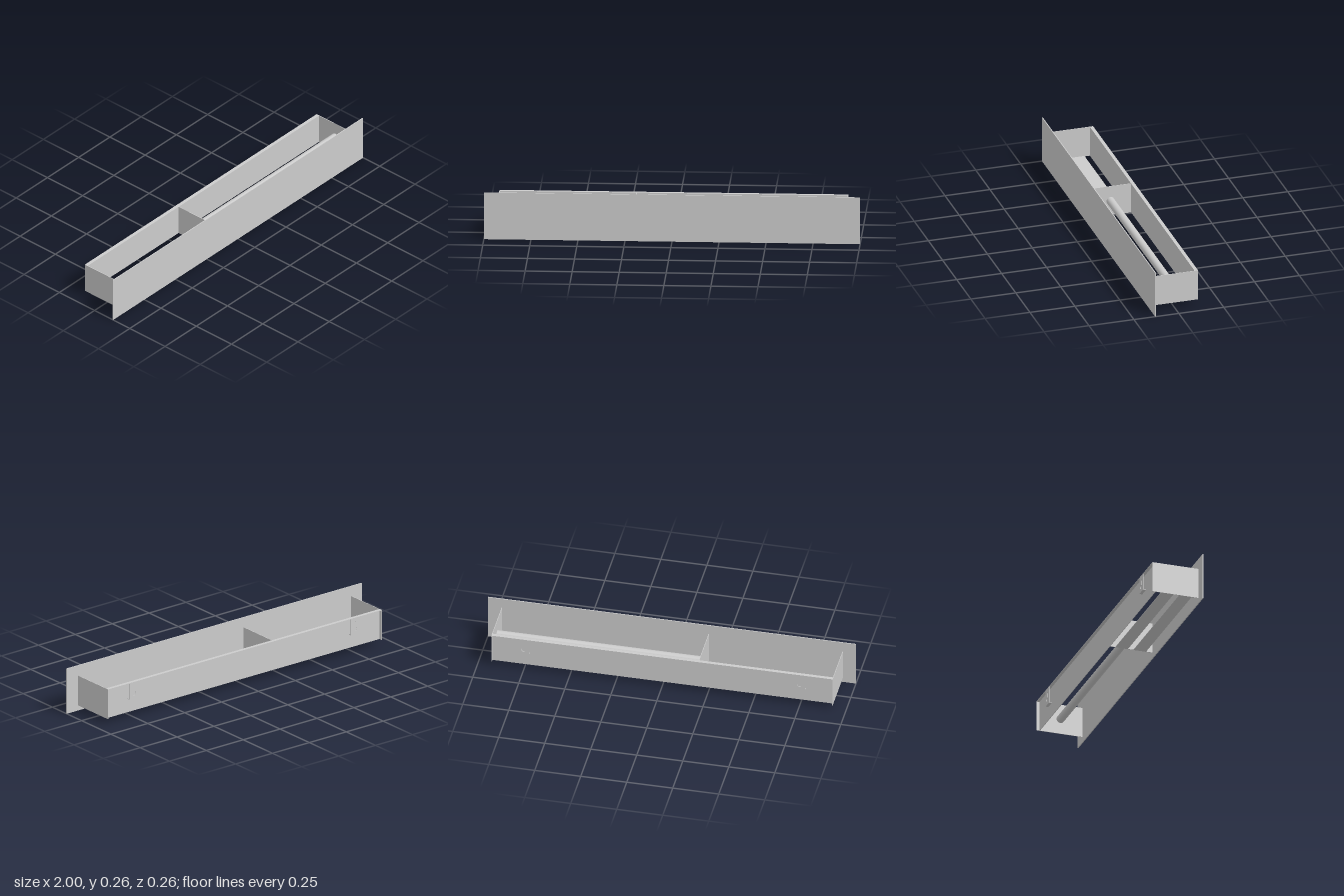
import * as THREE from 'three';

const T = 0.003; // sheet thickness
const LEFT = 0.925, RIGHT = -0.93, DIVIDER = -0.2;
const BOTTOM = 0.03, TOP = 0.2;
const BACK = -0.131, PANEL_Z = -0.112, FRONT_Z = 0.127;

export function createModel() {
  const model = new THREE.Group();
  model.name = 'wallShelfHousing';
  const material = new THREE.MeshStandardMaterial({ color: 0xcccccc });

  const add = (name, geometry, parent = model) => {
    const mesh = new THREE.Mesh(geometry, material);
    mesh.name = name;
    parent.add(mesh);
    return mesh;
  };
  // Box given by its lower and upper limits
  const slab = (name, x0, x1, y0, y1, z0, z1, parent) => {
    const mesh = add(name, new THREE.BoxGeometry(x1 - x0, y1 - y0, z1 - z0), parent);
    mesh.position.set((x0 + x1) / 2, (y0 + y1) / 2, (z0 + z1) / 2);
    return mesh;
  };

  // Wide front board
  slab('frontBoard', -1, 1, 0, 0.257, FRONT_Z, 0.132);

  // Upright plates: two ends and a divider
  slab('leftEndPlate', LEFT - T, LEFT, BOTTOM, TOP, BACK, FRONT_Z);
  slab('rightEndPlate', RIGHT, RIGHT + T, BOTTOM, TOP, BACK, FRONT_Z);
  slab('divider', DIVIDER - T / 2, DIVIDER + T / 2, BOTTOM, TOP, PANEL_Z, FRONT_Z);

  // Recessed back panel with a lip turned rearward along the top
  slab('backPanel', RIGHT + T, LEFT - T, BOTTOM, TOP, PANEL_Z - T, PANEL_Z);
  slab('backTopLip', RIGHT + T, LEFT - T, TOP - T, TOP, BACK, PANEL_Z - T);

  // Two flat slats across the floor of the short bay
  for (const [name, z0, z1] of [['rearSlat', -0.082, -0.012], ['frontSlat', 0.02, 0.09]]) {
    slab(name, RIGHT + T, DIVIDER - T / 2, BOTTOM, BOTTOM + T, z0, z1);
  }

  // Round tube through the long bay
  const length = LEFT - T - DIVIDER - T / 2;
  const tube = add('tube', new THREE.CylinderGeometry(0.022, 0.022, length, 32));
  tube.rotation.z = Math.PI / 2;
  tube.position.set(DIVIDER + T / 2 + length / 2, 0.115, 0.003);

  // Keyhole hangers: a pierced plate flush with the lip and a foot to the panel
  const w = 0.029, low = 0.105;
  const plate = new THREE.Shape();
  plate.moveTo(-w, low).lineTo(w, low).lineTo(w, TOP - T).lineTo(-w, TOP - T).closePath();
  const keyhole = new THREE.Path();
  const r = 0.013, s = 0.006, cy = 0.136, a = Math.acos(s / r);
  keyhole.absarc(0, cy, r, Math.PI - a, 2 * Math.PI + a, false);
  keyhole.absarc(0, 0.172, s, 0, Math.PI, false);
  keyhole.closePath();
  plate.holes.push(keyhole);
  const plateGeometry = new THREE.ExtrudeGeometry(plate, { depth: T, bevelEnabled: false, curveSegments: 16 });

  for (const [name, x] of [['leftHanger', 0.75], ['rightHanger', -0.75]]) {
    const hanger = new THREE.Group();
    hanger.name = name;
    hanger.position.x = x;
    add('keyholePlate', plateGeometry, hanger).position.z = BACK;
    slab('hangerFoot', -w, w, low, low + T, BACK + T, PANEL_Z - T, hanger);
    model.add(hanger);
  }

  return model;
}
